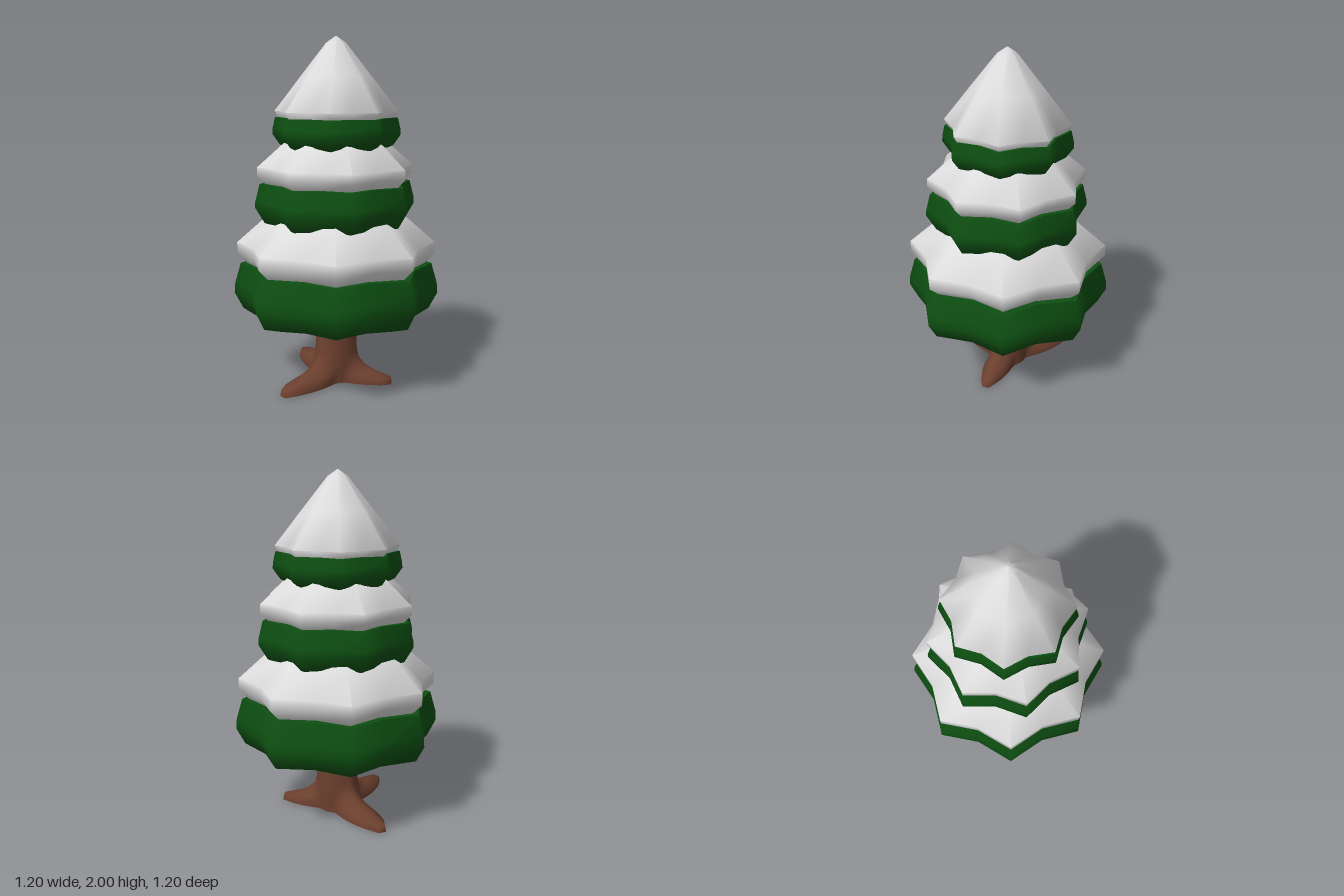
import * as THREE from 'three';
import { toCreasedNormals } from 'three/addons/utils/BufferGeometryUtils.js';

const snowWhite = new THREE.MeshStandardMaterial({ color: 0xdcdcdc });
const needleGreen = new THREE.MeshStandardMaterial({ color: 0x0e5012, side: THREE.DoubleSide });
const barkBrown = new THREE.MeshStandardMaterial({ color: 0x6b3f2e });

// Closed rings of n points stacked along the rows; radius(row, angle, k) shapes each ring
function loft(rows, n, radius, phase = 0) {
  const pos = [], index = [];
  rows.forEach((row, j) => {
    for (let k = 0; k < n; k++) {
      const a = phase + (k / n) * Math.PI * 2;
      const r = radius(row, a, k);
      pos.push(r * Math.cos(a), row[1], r * Math.sin(a));
      if (j < rows.length - 1) {
        const p = j * n + k, q = j * n + (k + 1) % n;
        index.push(p, p + n, q, q, p + n, q + n);
      }
    }
  });
  const g = new THREE.BufferGeometry();
  g.setAttribute('position', new THREE.Float32BufferAttribute(pos, 3));
  g.setIndex(index);
  return toCreasedNormals(g, 1.25);
}

// Eight-pointed star ring
const star = (row, a, k) => row[0] * (k % 2 ? 0.857 : 1);

function createMesh(name, geometry, material) {
  const mesh = new THREE.Mesh(geometry, material);
  mesh.name = name;
  return mesh;
}

// Profiles are [point radius, height], from the underside upward
const tiers = [
  {
    name: 'lower', phase: -5,
    needles: [[0.1, 0.62], [0.39, 0.5], [0.435, 0.385], [0.55, 0.425], [0.6, 0.52], [0.595, 0.58], [0.56, 0.7], [0.44, 0.7]],
    snow: [[0.515, 0.695], [0.578, 0.757], [0.578, 0.825], [0.42, 0.965], [0.25, 1.1]],
  },
  {
    name: 'middle', phase: -16,
    needles: [[0.33, 0.92], [0.415, 0.955], [0.468, 1.045], [0.466, 1.08], [0.44, 1.18], [0.34, 1.18]],
    snow: [[0.405, 1.175], [0.452, 1.225], [0.452, 1.275], [0.31, 1.4], [0.18, 1.5]],
  },
  {
    name: 'upper', phase: 0,
    needles: [[0.25, 1.36], [0.325, 1.395], [0.367, 1.455], [0.364, 1.49], [0.35, 1.55], [0.25, 1.55]],
    snow: [[0.33, 1.545], [0.352, 1.585], [0.2, 1.78], [0.055, 1.963], [0, 2]],
  },
];

// Root directions (angle from +x toward +z) and their reach
const roots = [[2.26, 1.04], [0.28, 0.76], [-2.17, 1.08]];

// Trunk radius: round core plus a tapering lobe for each root
function trunkRadius(row, a) {
  let r = row[0];
  for (const [dir, reach] of roots) {
    const d = Math.abs(Math.atan2(Math.sin(a - dir), Math.cos(a - dir)));
    const w = Math.min(1, Math.max(0, 1.08 - d / 0.8));
    r += row[2] * reach * w * w;
  }
  return r;
}

export function createModel() {
  const tree = new THREE.Group();
  tree.name = 'snowyTree';

  // Trunk with three spreading roots: [core radius, height, root length]
  const trunkRows = [
    [0, 0, 0], [0.12, 0, 0.3], [0.12, 0.035, 0.29], [0.122, 0.06, 0.17],
    [0.124, 0.09, 0.08], [0.124, 0.13, 0.025], [0.122, 0.18, 0.008],
    [0.115, 0.38, 0], [0.11, 0.64, 0],
  ];
  tree.add(createMesh('trunkAndRoots', loft(trunkRows, 60, trunkRadius), barkBrown));

  // Needle skirts, each with its blanket of snow
  for (const { name, phase, needles, snow } of tiers) {
    const turn = THREE.MathUtils.degToRad(phase);
    tree.add(createMesh(name + 'Needles', loft(needles, 16, star, turn), needleGreen));
    tree.add(createMesh(name + 'Snow', loft(snow, 16, star, turn), snowWhite));
  }
  return tree;
}
